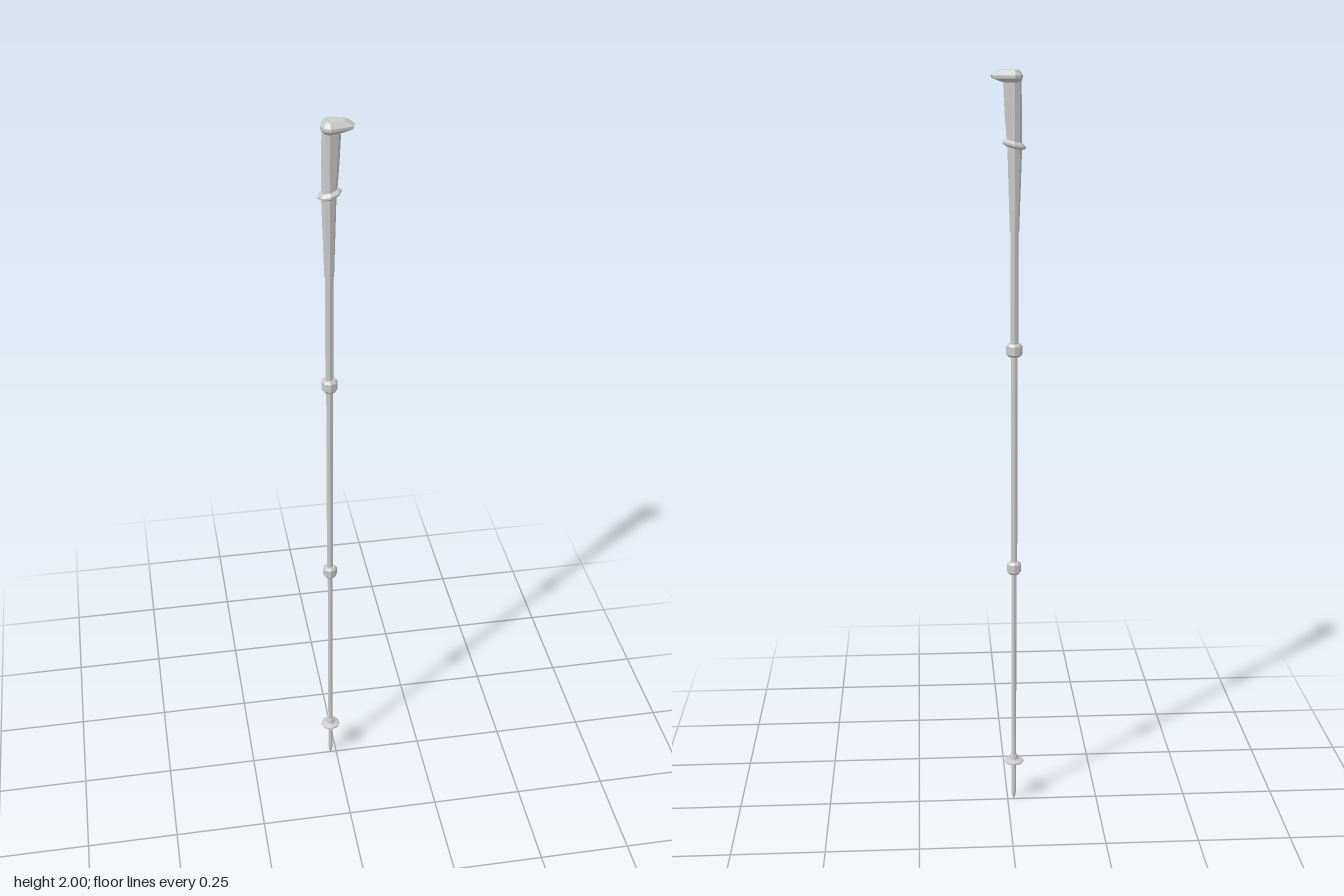
import * as THREE from 'three';

const AXIS = -0.017; // x of the shaft's centre line
const SIDES = 8;
const material = new THREE.MeshStandardMaterial({ color: 0xcccccc, flatShading: true });

function addMesh(group, name, geometry) {
  const mesh = new THREE.Mesh(geometry, material);
  mesh.name = name;
  group.add(mesh);
  return mesh;
}

// Faceted turned part around the shaft axis; profile is [radius, y] from bottom to top
function turned(group, name, profile) {
  const points = profile.map(([r, y]) => new THREE.Vector2(r, y));
  addMesh(group, name, new THREE.LatheGeometry(points, SIDES)).position.x = AXIS;
}

// Closed loft through eight-sided rings, bottom to top.
// Ring: y, left and right x limits, half depth z, optional slope (dy/dx) and blunt nose
function loft(group, name, rings) {
  const positions = [];
  const index = [];
  for (const { y, left, right, z, slope = 0, blunt = false } of rings) {
    for (let i = 0; i < SIDES; i++) {
      const a = (i / SIDES) * Math.PI * 2;
      let c = Math.cos(a);
      let s = Math.sin(a);
      if (blunt && c > 0.1 && c < 0.9) {
        c = 0.92;
        s = Math.sign(s) * 0.6;
      }
      const dx = c * (c > 0 ? right - AXIS : AXIS - left);
      positions.push(AXIS + dx, y + dx * slope, s * z);
    }
  }
  const last = (rings.length - 1) * SIDES;
  for (let r = 0; r < last; r += SIDES) {
    for (let i = 0; i < SIDES; i++) {
      const j = (i + 1) % SIDES;
      index.push(r + i, r + SIDES + i, r + j, r + j, r + SIDES + i, r + SIDES + j);
    }
  }
  // End caps
  for (let i = 1; i < SIDES - 1; i++) {
    index.push(0, i, i + 1, last, last + i + 1, last + i);
  }
  const geometry = new THREE.BufferGeometry();
  geometry.setAttribute('position', new THREE.Float32BufferAttribute(positions, 3));
  geometry.setIndex(index);
  geometry.computeVertexNormals();
  addMesh(group, name, geometry);
}

export function createModel() {
  const group = new THREE.Group();
  group.name = 'trekkingPole';

  // Telescoping shaft, thinner towards the ground
  turned(group, 'lowerShaft', [[0, 0.12], [0.0065, 0.12], [0.0065, 0.7], [0, 0.7]]);
  turned(group, 'middleShaft', [[0, 0.69], [0.0085, 0.69], [0.0085, 1.3], [0, 1.3]]);
  turned(group, 'upperShaft', [[0, 1.29], [0.0105, 1.29], [0.0105, 1.62], [0, 1.62]]);

  // Locking collars with chamfered rims
  for (const [name, y, r] of [['lowerLock', 0.7, 0.019], ['upperLock', 1.3, 0.021]]) {
    turned(group, name, [
      [0, y - 0.017], [r - 0.005, y - 0.017], [r, y - 0.011],
      [r, y + 0.011], [r - 0.005, y + 0.017], [0, y + 0.017],
    ]);
  }

  // Basket disc with its hub, and the pointed tip
  turned(group, 'basket', [
    [0, 0.112], [0.012, 0.112], [0.027, 0.119], [0.027, 0.123],
    [0.013, 0.128], [0.01, 0.141], [0, 0.141],
  ]);
  turned(group, 'tip', [[0, 0], [0.003, 0.008], [0.006, 0.02], [0.0065, 0.12], [0, 0.12]]);

  // Tapered lower grip and hand grip
  loft(group, 'lowerGrip', [
    { y: 1.605, left: -0.029, right: -0.005, z: 0.012 },
    { y: 1.82, left: -0.036, right: 0.001, z: 0.018 },
  ]);
  loft(group, 'handGrip', [
    { y: 1.815, left: -0.035, right: 0.002, z: 0.018 },
    { y: 1.9, left: -0.035, right: 0.008, z: 0.019 },
    { y: 1.98, left: -0.034, right: 0.012, z: 0.02 },
  ]);

  // Tilted rest between the two grips
  loft(group, 'gripRest', [
    { y: 1.812, left: -0.037, right: 0.006, z: 0.02, slope: 0.25 },
    { y: 1.817, left: -0.045, right: 0.013, z: 0.027, slope: 0.25 },
    { y: 1.822, left: -0.045, right: 0.013, z: 0.027, slope: 0.25 },
    { y: 1.829, left: -0.037, right: 0.006, z: 0.02, slope: 0.25 },
  ]);

  // Head with its forward beak
  loft(group, 'gripHead', [
    { y: 1.971, left: -0.033, right: 0.013, z: 0.02 },
    { y: 1.981, left: -0.037, right: 0.04, z: 0.03, blunt: true },
    { y: 1.988, left: -0.037, right: 0.043, z: 0.03, blunt: true },
    { y: 2.0, left: -0.028, right: 0.021, z: 0.02, blunt: true },
  ]);

  return group;
}
